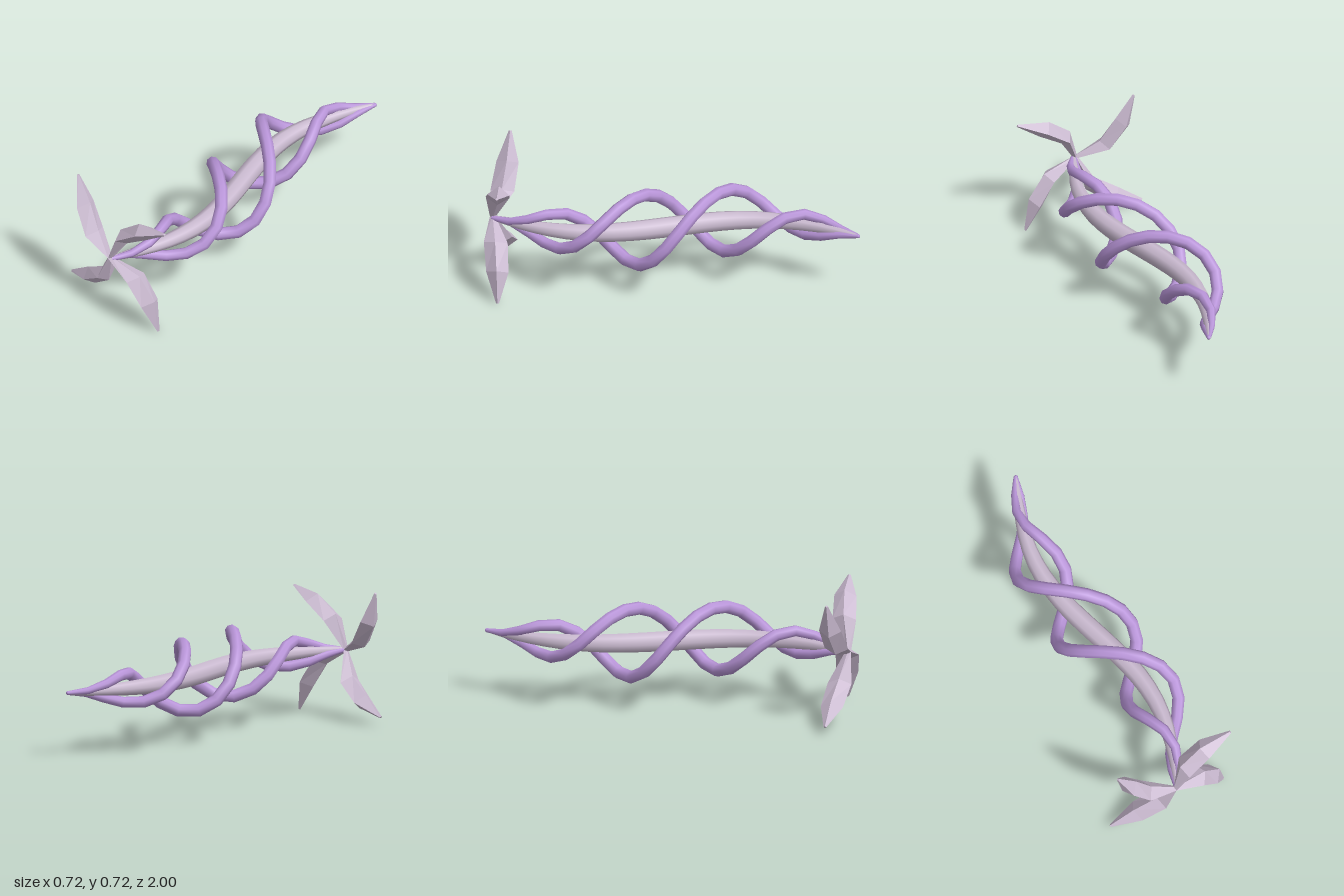
import * as THREE from 'three';

const AXIS_Y = 0.36;

// Gently S-curved core line running along z; an optional twisting offset makes a vine
class StemCurve extends THREE.Curve {
  constructor(reach, phase, zFront, zBack) {
    super();
    Object.assign(this, { reach, phase, zFront, zBack });
  }
  getPoint(t, target = new THREE.Vector3()) {
    const z = THREE.MathUtils.lerp(this.zFront, this.zBack, t);
    const r = this.reach * Math.pow(Math.max(0, Math.cos(z * Math.PI / 2)), 1.3);
    const a = z * Math.PI * 2 / 0.965 + this.phase;
    return target.set(0.12 * Math.sin(Math.PI * z) + r * Math.cos(a), AXIS_Y - r * Math.sin(a), z);
  }
}

// Tube whose radius varies with z
function taperedTube(curve, segments, sides, radiusAt) {
  const geo = new THREE.TubeGeometry(curve, segments, 1, sides);
  const pos = geo.attributes.position;
  const v = new THREE.Vector3();
  for (let i = 0; i <= segments; i++) {
    const c = curve.getPointAt(i / segments);
    for (let j = 0; j <= sides; j++) {
      const k = i * (sides + 1) + j;
      v.fromBufferAttribute(pos, k).sub(c).multiplyScalar(radiusAt(c.z)).add(c);
      pos.setXYZ(k, v.x, v.y, v.z);
    }
  }
  return geo;
}

// Faceted petal: four diamond sections, each with two side edges and front/back ridges
function petalGeometry() {
  const sections = [
    // left x, y, right x, y, front z, back z
    [-0.010, 0.004, 0.010, -0.006, 0.985, 0.955],
    [0.045, 0.192, 0.092, 0.125, 1.0, 0.872],
    [0.170, 0.287, 0.224, 0.208, 0.978, 0.858],
    [0.350, 0.316, 0.359, 0.304, 0.918, 0.902],
  ];
  const rings = sections.map(([ax, ay, bx, by, zf, zb]) => {
    const mx = (ax + bx) / 2, my = (ay + by) / 2, mz = (zf + zb) / 2;
    return [[ax, ay, mz], [mx, my, zf], [bx, by, mz], [mx, my, zb]];
  });
  const out = [];
  const quad = (a, b, c, d) => out.push(...a, ...b, ...c, ...a, ...c, ...d);
  for (let i = 0; i < rings.length - 1; i++) {
    for (let j = 0; j < 4; j++) {
      const k = (j + 1) % 4;
      quad(rings[i][j], rings[i][k], rings[i + 1][k], rings[i + 1][j]);
    }
  }
  quad(...rings[rings.length - 1]);
  quad(...[...rings[0]].reverse());
  const geo = new THREE.BufferGeometry();
  geo.setAttribute('position', new THREE.Float32BufferAttribute(out, 3));
  geo.computeVertexNormals();
  return geo;
}

export function createModel() {
  const group = new THREE.Group();
  const pale = new THREE.MeshStandardMaterial({ color: 0xcbbbd1 });
  pale.name = 'pale lilac';
  const violet = new THREE.MeshStandardMaterial({ color: 0xba96da });
  violet.name = 'violet';

  const add = (name, geo, mat) => {
    const mesh = new THREE.Mesh(geo, mat);
    mesh.name = name;
    group.add(mesh);
    return mesh;
  };

  // Core stem, thickest in the middle
  const stemRadius = z => 0.008 + 0.048 * Math.pow(Math.max(0, Math.cos(z * Math.PI / 2)), 0.7);
  add('stem', taperedTube(new StemCurve(0, 0, 0.97, -0.99), 24, 8, stemRadius), pale);

  // Two vines twisting round the stem
  const vineRadius = z => 0.01 + 0.025 * (1 - Math.pow(Math.abs(z), 4));
  ['leftVine', 'rightVine'].forEach((name, i) => {
    const curve = new StemCurve(0.195, i * Math.PI, 0.97, -0.99);
    add(name, taperedTube(curve, 24, 8, vineRadius), violet);
  });

  // Closed rear tip
  add('rearTip', new THREE.SphereGeometry(0.011, 8, 6), violet).position.set(-0.003, AXIS_Y, -0.989);

  // Four petals in a pinwheel at the front
  const petal = petalGeometry();
  for (let i = 0; i < 4; i++) {
    const mesh = add('petal' + (i + 1), petal, pale);
    mesh.position.y = AXIS_Y;
    mesh.rotation.z = i * Math.PI / 2;
  }
  return group;
}
